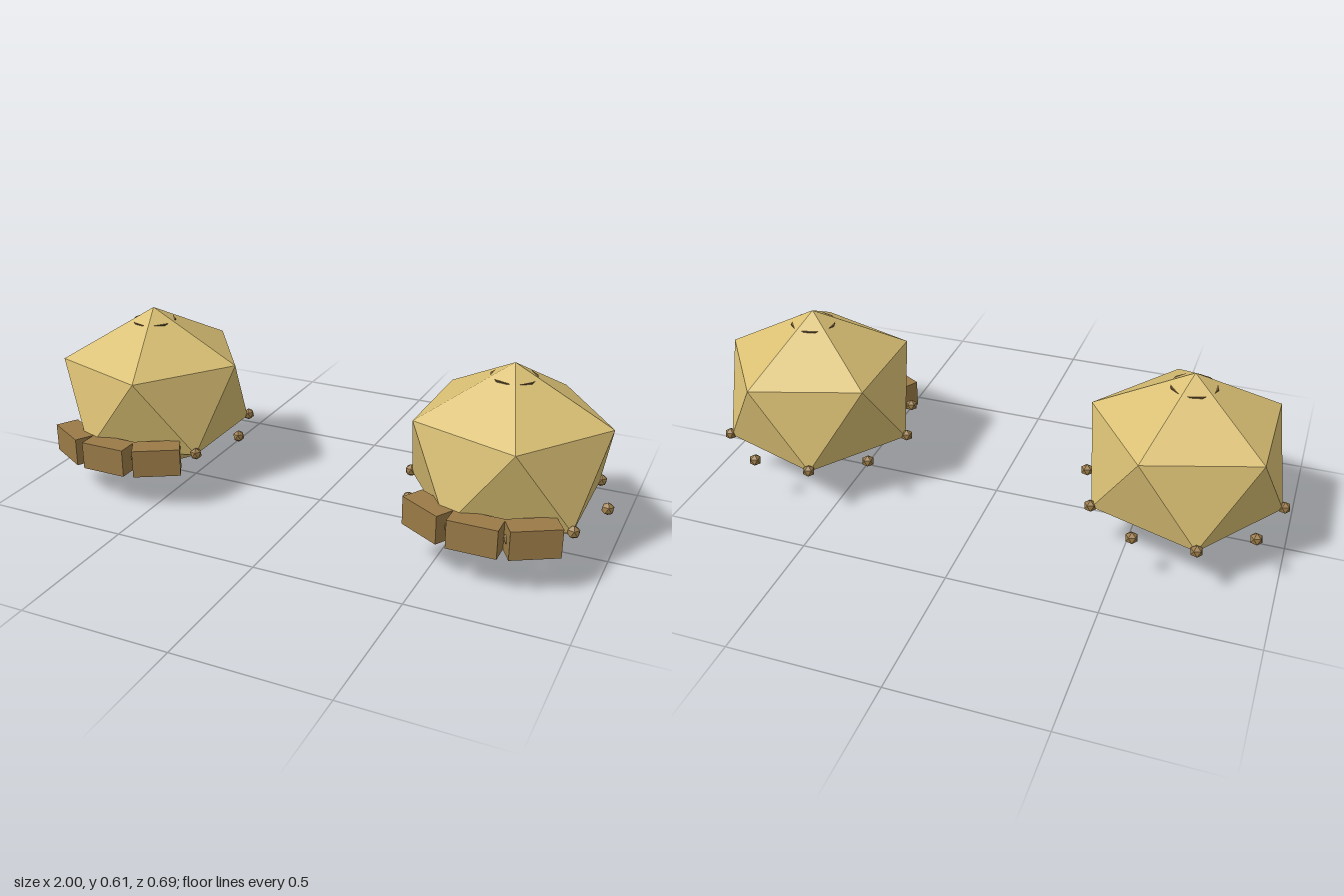
import * as THREE from 'three';

const mat = (color) => new THREE.MeshStandardMaterial({ color, flatShading: true });
const shellMat = mat(0xd9bf73);
const trimMat = mat(0x9a7a47);
const darkMat = mat(0x6b5531);

const RING = 0.326; // radius on which studs and plates sit
const RING_Y = 0.176;

// Icosahedron turned so that one corner points straight up
function uprightIcosahedron(radius) {
  const t = (1 + Math.sqrt(5)) / 2;
  return new THREE.IcosahedronGeometry(radius, 0).rotateZ(-Math.atan(1 / t));
}

function add(parent, name, geometry, material, x = 0, y = 0, z = 0) {
  const mesh = new THREE.Mesh(geometry, material);
  mesh.name = name;
  mesh.position.set(x, y, z);
  parent.add(mesh);
  return mesh;
}

function createPod(name) {
  const pod = new THREE.Group();
  pod.name = name;

  // Faceted body, slightly squashed
  const body = uprightIcosahedron(0.359).scale(1, 0.85, 1);
  add(pod, 'body', body, shellMat, 0, 0.306, 0);

  // Disc that just breaks through the five top faces
  add(pod, 'topDisc', new THREE.CylinderGeometry(0.076, 0.076, 0.03, 12), darkMat, 0, 0.552, 0);

  // Ten studs around the lower edge
  const stud = uprightIcosahedron(0.0215);
  for (let i = 0; i < 10; i++) {
    const a = (i * Math.PI) / 5;
    add(pod, 'stud', stud, trimMat, RING * Math.cos(a), RING_Y, RING * Math.sin(a));
  }

  // Three plates fanned across the front
  const plate = new THREE.BoxGeometry(0.16, 0.096, 0.08);
  for (const i of [-1, 0, 1]) {
    const a = (i * Math.PI) / 6;
    const mesh = add(pod, 'frontPlate', plate, trimMat, RING * Math.sin(a), RING_Y, RING * Math.cos(a));
    mesh.rotation.y = a;
  }
  return pod;
}

export function createModel() {
  const model = new THREE.Group();
  model.name = 'podPair';
  for (const side of [-1, 1]) {
    const pod = createPod(side < 0 ? 'rightPod' : 'leftPod');
    pod.position.set(side * 0.653, 0, -0.018);
    model.add(pod);
  }
  return model;
}
